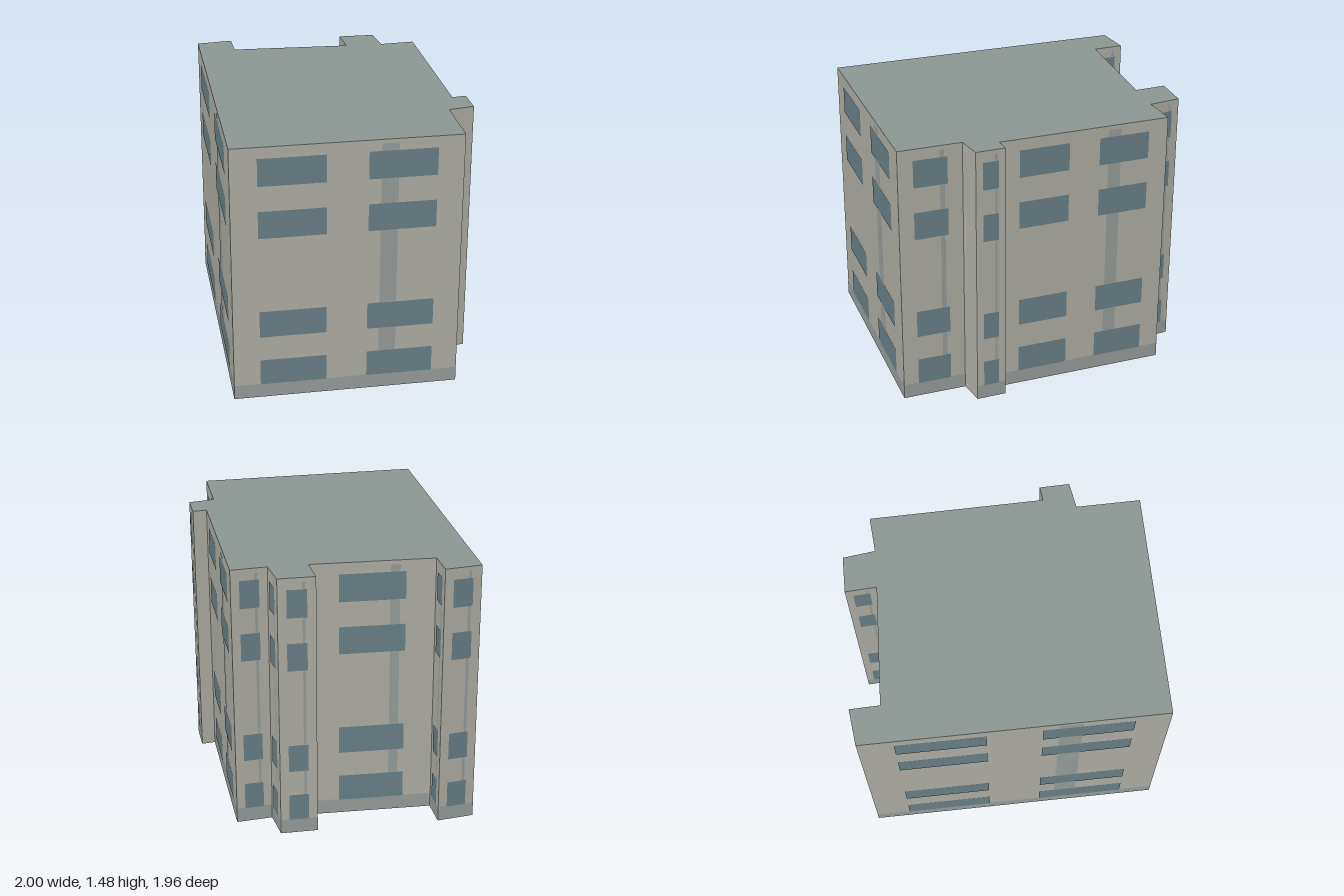
import * as THREE from 'three';
import { mergeGeometries } from 'three/addons/utils/BufferGeometryUtils.js';

const HEIGHT = 1.475;
const PLINTH = 0.082;

// Footprint corners [x, z], each wall running left to right as seen from outside
const FOOTPRINT = [
  [0.04, 0.975], [0.997, 0.195], [0.775, -0.075], [0.87, -0.183], [0.765, -0.307],
  [0.71, -0.252], [0.103, -0.983], [-0.04, -0.85], [-0.167, -0.973], [-0.325, -0.85],
  [-0.21, -0.722], [-0.75, -0.328], [-0.857, -0.453], [-1, -0.31],
];
const FLOORS = [[0.08, 0.23], [0.372, 0.527], [0.96, 1.115], [1.257, 1.412]];

export function createModel() {
  const model = new THREE.Group();
  const parts = { walls: [], plinth: [], pilasters: [], windows: [] };

  FOOTPRINT.forEach(([ax, az], i) => {
    const [bx, bz] = FOOTPRINT[(i + 1) % FOOTPRINT.length];
    const length = Math.hypot(bx - ax, bz - az);
    const angle = Math.atan2(az - bz, bx - ax);

    // Upright panel on this wall: u is a fraction of its length, y a height
    const panel = (part, u0, u1, y0, y1, offset) => {
      const g = new THREE.PlaneGeometry((u1 - u0) * length, y1 - y0);
      g.translate(((u0 + u1) / 2) * length, (y0 + y1) / 2, offset);
      g.rotateY(angle).translate(ax, 0, az);
      parts[part].push(g);
    };

    panel('walls', 0, 1, 0, HEIGHT, 0);
    if (length < 0.15) return; // short returns stay blank

    panel('plinth', 0, 1, 0, PLINTH, 0.0015);
    panel('pilasters', 0.643, 0.718, PLINTH, 1.452, 0.0015);
    const columns = length > 0.8 ? [[0.117, 0.41], [0.59, 0.885]] : [[0.235, 0.765]];
    for (const [u0, u1] of columns) {
      for (const [y0, y1] of FLOORS) panel('windows', u0, u1, y0, y1, 0.003);
    }
  });

  const add = (name, geometry, color, side) => {
    const mesh = new THREE.Mesh(geometry, new THREE.MeshStandardMaterial({ color, side }));
    mesh.name = name;
    model.add(mesh);
  };

  // Open-bottomed shell with flat facade details
  add('walls', mergeGeometries(parts.walls), 0xb2b2a9, THREE.DoubleSide);
  add('plinth', mergeGeometries(parts.plinth), 0x9aa19e, THREE.FrontSide);
  add('pilasters', mergeGeometries(parts.pilasters), 0x9aa19e, THREE.FrontSide);
  add('windows', mergeGeometries(parts.windows), 0x6c838a, THREE.FrontSide);

  // Flat roof
  const outline = new THREE.Shape(FOOTPRINT.map(([x, z]) => new THREE.Vector2(x, -z)));
  const roof = new THREE.ShapeGeometry(outline).rotateX(-Math.PI / 2).translate(0, HEIGHT, 0);
  add('roof', roof, 0x8e9895, THREE.DoubleSide);

  return model;
}
